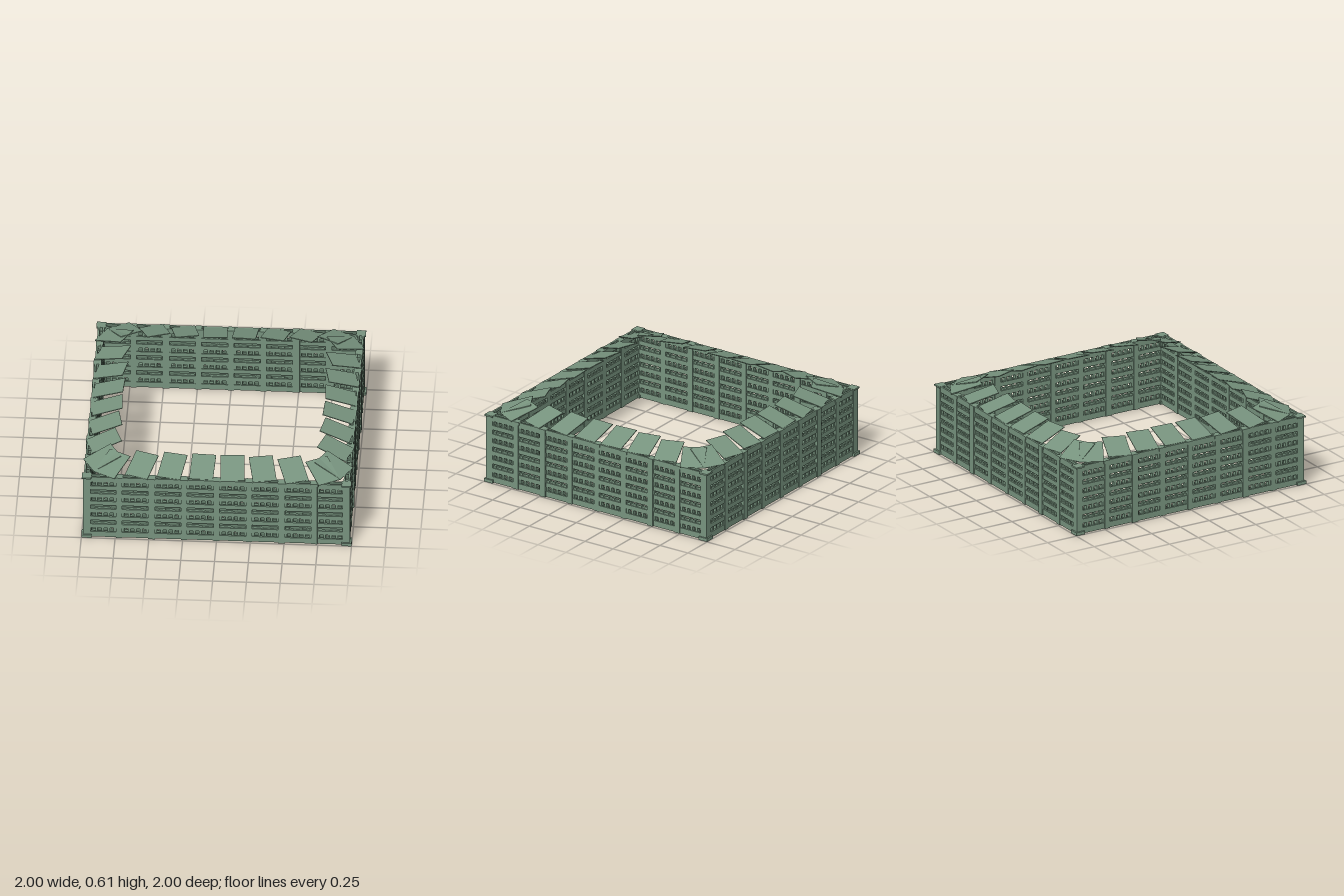
import * as THREE from 'three';
import { mergeGeometries } from 'three/addons/utils/BufferGeometryUtils.js';

const BAY = 0.241, BAYS = 8, ROW = 0.0685, TOP = 0.54;

// Box given by its centre and size
function box(x, y, z, w, h, d) {
  return new THREE.BoxGeometry(w, h, d).translate(x, y, z);
}

// One side of the enclosure, facing +z
function createSide(material) {
  const side = new THREE.Group();
  const add = (name, parts) => {
    const mesh = new THREE.Mesh(mergeGeometries(parts), material);
    mesh.name = name;
    side.add(mesh);
  };

  // Outer and inner horizontal boards, leaving seven slots
  const boards = [];
  for (let i = 0; i < 8; i++) {
    const low = i === 0 ? 0.003 : i * ROW + 0.014;
    const high = i === 7 ? TOP : (i + 1) * ROW - 0.02;
    const mid = (low + high) / 2;
    boards.push(box(0, mid, 0.977, 1.96, high - low, 0.014));
    boards.push(box(0, mid, 0.943, 1.9, high - low, 0.012));
  }
  add('boards', boards);

  // Upright posts between the bays
  const posts = [];
  for (let i = 1; i < BAYS; i++) {
    const x = (i - BAYS / 2) * BAY;
    const main = i === 2 || i === 6;
    posts.push(box(x, TOP / 2, main ? 0.963 : 0.961, main ? 0.052 : 0.045, TOP, main ? 0.058 : 0.054));
    // Small cap on every post
    posts.push(box(x, TOP - 0.012, 0.963, 0.06, 0.02, 0.05));
  }
  add('posts', posts);

  // Balusters in the odd slots, a low rail with blocks in the even slots
  const balusters = [], rails = [];
  for (let r = 1; r <= 7; r++) {
    const y = r * ROW - 0.003;
    for (let b = 0; b < BAYS; b++) {
      const x = (b - BAYS / 2 + 0.5) * BAY;
      if (r % 2) {
        for (const k of [-2, -1, 0, 1, 2]) {
          balusters.push(box(x + k * 0.045, y, 0.96, 0.018, 0.05, 0.034));
        }
      } else {
        rails.push(box(x, y - 0.011, 0.96, 0.2, 0.013, 0.02));
        for (const k of [-1.5, -0.5, 0.5, 1.5]) {
          rails.push(box(x + k * 0.05, y - 0.008, 0.96, 0.02, 0.018, 0.034));
        }
      }
    }
  }
  add('balusters', balusters);
  add('rails', rails);

  // Sloping roof panels, turned more and more towards the corners
  const panels = [];
  [0.11, 0.335, 0.56, 0.78].forEach((x, i) => {
    const angle = THREE.MathUtils.degToRad([3, 11, 19, 29][i]);
    for (const s of [-1, 1]) {
      const tilt = new THREE.Euler(0.3, s * angle, 0, 'YXZ');
      panels.push(new THREE.BoxGeometry(0.177, 0.006, 0.235)
        .applyMatrix4(new THREE.Matrix4().makeRotationFromEuler(tilt))
        .translate(s * x, 0.574, 0.857));
    }
  });
  add('roofPanels', panels);
  return side;
}

export function createModel() {
  const model = new THREE.Group();
  model.name = 'latticeEnclosure';
  const green = new THREE.MeshStandardMaterial({ color: 0x78947f });
  green.name = 'greyGreen';

  // Four equal sides, each ending in a corner post on a square foot
  for (let i = 0; i < 4; i++) {
    const side = createSide(green);
    side.name = 'side' + (i + 1);
    const post = new THREE.Mesh(box(0.96, TOP / 2, 0.96, 0.055, TOP, 0.055), green);
    post.name = 'cornerPost';
    const foot = new THREE.Mesh(box(0.962, 0.0125, 0.962, 0.076, 0.025, 0.076), green);
    foot.name = 'cornerFoot';
    const cap = new THREE.Mesh(box(0.962, TOP - 0.006, 0.962, 0.07, 0.012, 0.07), green);
    cap.name = 'cornerCap';
    side.add(post, foot, cap);
    side.rotation.y = i * Math.PI / 2;
    model.add(side);
  }
  return model;
}
